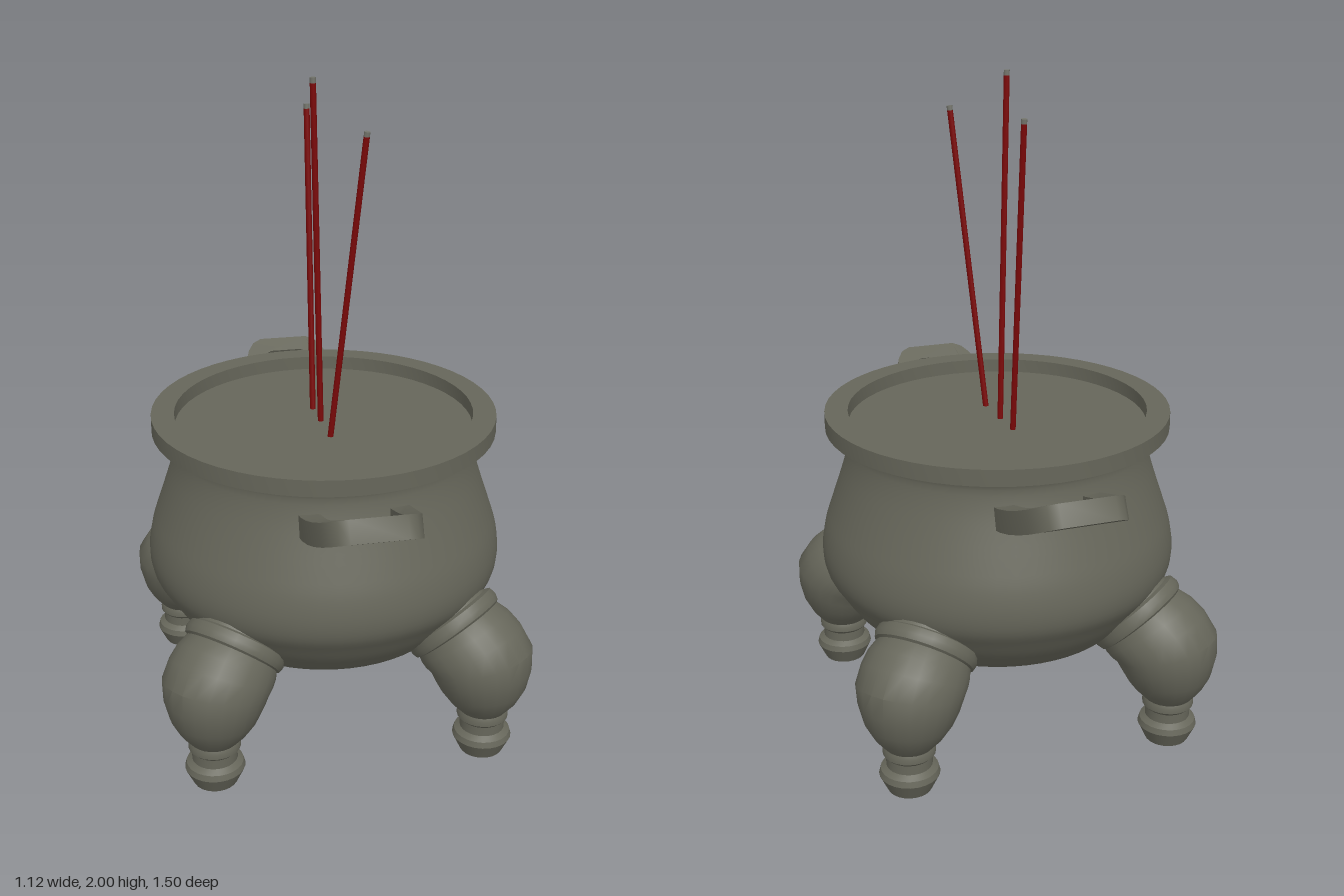
import * as THREE from 'three';
import { toCreasedNormals, mergeVertices } from 'three/addons/utils/BufferGeometryUtils.js';

const bronze = new THREE.MeshStandardMaterial({ color: 0x66665a });
bronze.name = 'aged bronze';
const red = new THREE.MeshStandardMaterial({ color: 0x7c0808 });
red.name = 'incense red';
const ash = new THREE.MeshStandardMaterial({ color: 0x74756c });
ash.name = 'ash grey';

function mesh(name, geometry, material) {
  const m = new THREE.Mesh(geometry, material);
  m.name = name;
  return m;
}

// Round pot with smooth belly, flat rim and a shallow filled top
function makePot() {
  const belly = new THREE.SplineCurve([
    [0.40, 0.322], [0.435, 0.355], [0.475, 0.4], [0.508, 0.45], [0.538, 0.5], [0.547, 0.56],
    [0.537, 0.63], [0.515, 0.7], [0.488, 0.78], [0.467, 0.85], [0.457, 0.91], [0.467, 0.938],
  ].map(p => new THREE.Vector2(...p))).getPoints(33);
  const v = (r, y) => new THREE.Vector2(r, y);
  const profile = [v(0, 0.314), v(0.38, 0.317), ...belly, v(0.525, 0.95), v(0.525, 1.0),
    v(0.455, 1.0), v(0.455, 0.957), v(0, 0.957)];
  return toCreasedNormals(new THREE.LatheGeometry(profile, 56), 0.55);
}

// Leg swept through [distance from centre, height, inward tilt in degrees, radius]
function makeLeg() {
  const stations = [
    [0.585, 0, 0, 0], [0.585, 0, 0, 0.066], [0.585, 0.05, 0, 0.09], [0.585, 0.068, 0, 0.085],
    [0.585, 0.08, 0, 0.068], [0.585, 0.11, 0, 0.068], [0.585, 0.12, 0, 0.078],
    [0.585, 0.135, 0, 0.078], [0.585, 0.145, 0, 0.074], [0.585, 0.18, 2, 0.105],
    [0.584, 0.22, 5, 0.13], [0.58, 0.27, 10, 0.149], [0.572, 0.315, 18, 0.159],
    [0.543, 0.347, 30, 0.159], [0.515, 0.37, 38, 0.154], [0.49, 0.385, 44, 0.144],
    [0.488, 0.388, 45, 0.152], [0.475, 0.4, 45, 0.157], [0.46, 0.415, 45, 0.152],
    [0.455, 0.42, 45, 0.135], [0.41, 0.46, 45, 0.13], [0.41, 0.46, 45, 0],
  ];
  const sides = 24, pos = [], index = [];
  stations.forEach(([d, y, tilt, r], i) => {
    const a = THREE.MathUtils.degToRad(tilt);
    for (let j = 0; j < sides; j++) {
      const t = j / sides * Math.PI * 2, out = r * Math.cos(t);
      pos.push(d + out * Math.cos(a), y + out * Math.sin(a), -r * Math.sin(t));
      if (i === 0) continue;
      const k = (j + 1) % sides, lo = (i - 1) * sides, hi = i * sides;
      index.push(lo + j, lo + k, hi + k, lo + j, hi + k, hi + j);
    }
  });
  const g = new THREE.BufferGeometry();
  g.setAttribute('position', new THREE.Float32BufferAttribute(pos, 3));
  g.setIndex(index);
  return toCreasedNormals(mergeVertices(g), 0.6);
}

// U-shaped handle, extruded flat and then bent upward
function makeHandle() {
  const outer = [[0.16, 0.43], [0.16, 0.48], [0.157, 0.54], [0.15, 0.6], [0.14, 0.655],
    [0.128, 0.69], [0.108, 0.72], [0.08, 0.735]];
  const inner = [[0.05, 0.682], [0.074, 0.67], [0.09, 0.64], [0.097, 0.6], [0.1, 0.54],
    [0.1, 0.48], [0.1, 0.43]];
  const flip = list => list.map(([x, u]) => [-x, u]).reverse();
  const outline = [...outer, ...flip(outer), ...flip(inner), ...inner];
  const shape = new THREE.Shape(outline.map(p => new THREE.Vector2(...p)));
  const g = new THREE.ExtrudeGeometry(shape, { depth: 0.066, bevelEnabled: false });
  const p = g.attributes.position;
  for (let i = 0; i < p.count; i++) {
    const u = p.getY(i), t = 0.033 - p.getZ(i), s = u - 0.44;
    const slope = 0.25 + 1.1 * s, len = Math.hypot(1, slope);
    p.setXYZ(i, p.getX(i), 0.83 + 0.25 * s + 0.55 * s * s + t / len, u - t * slope / len);
  }
  return toCreasedNormals(g, 0.6);
}

// Thin rod between two points
function rod(name, from, to, radius, material) {
  const dir = to.clone().sub(from);
  const m = mesh(name, new THREE.CylinderGeometry(radius, radius, dir.length(), 8), material);
  m.position.copy(from).add(to).multiplyScalar(0.5);
  m.quaternion.setFromUnitVectors(new THREE.Vector3(0, 1, 0), dir.normalize());
  return m;
}

export function createModel() {
  const model = new THREE.Group();
  model.name = 'incenseBurner';
  model.add(mesh('pot', makePot(), bronze));

  // Four legs on the diagonals
  const leg = makeLeg();
  for (let i = 0; i < 4; i++) {
    const m = mesh('leg', leg, bronze);
    m.rotation.y = Math.PI / 4 + i * Math.PI / 2;
    model.add(m);
  }

  // Front and back handles
  const handle = makeHandle();
  for (const [name, turn] of [['frontHandle', 0], ['backHandle', Math.PI]]) {
    const m = mesh(name, handle, bronze);
    m.rotation.y = turn;
    model.add(m);
  }

  // Three incense sticks with burnt tips
  const sticks = [
    [[-0.004, 0.95, 0.12], [0.079, 1.88, 0.205]],
    [[-0.008, 0.95, -0.004], [-0.034, 1.999, 0.016]],
    [[-0.013, 0.95, -0.105], [-0.013, 1.89, -0.188]],
  ];
  for (const [a, b] of sticks) {
    const base = new THREE.Vector3(...a), tip = new THREE.Vector3(...b);
    const burn = tip.clone().lerp(base, 0.015);
    const stick = new THREE.Group();
    stick.name = 'incenseStick';
    stick.add(rod('stick', base, burn, 0.009, red), rod('burntTip', burn, tip, 0.009, ash));
    model.add(stick);
  }
  return model;
}
